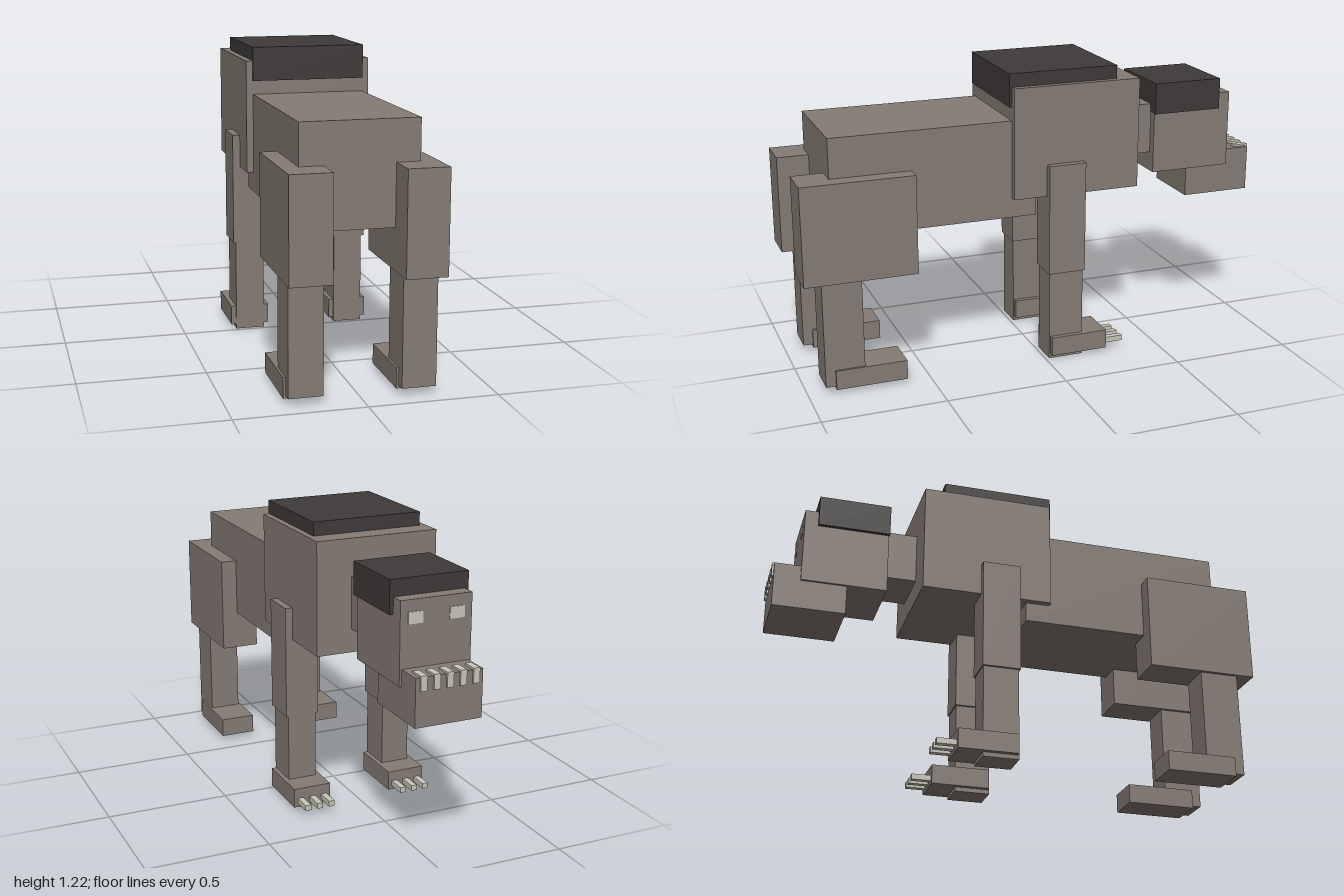
import * as THREE from 'three';

const fur = new THREE.MeshStandardMaterial({ name: 'fur', color: 0x857b74 });
const mane = new THREE.MeshStandardMaterial({ name: 'darkMane', color: 0x403a3a });
const bone = new THREE.MeshStandardMaterial({ name: 'bone', color: 0xc8c6ba });

// Box given by its extents on each axis
function box(parent, name, material, [x0, x1], [y0, y1], [z0, z1]) {
  const mesh = new THREE.Mesh(new THREE.BoxGeometry(x1 - x0, y1 - y0, z1 - z0), material);
  mesh.position.set((x0 + x1) / 2, (y0 + y1) / 2, (z0 + z1) / 2);
  mesh.name = name;
  parent.add(mesh);
}

function group(parent, name) {
  const g = new THREE.Group();
  g.name = name;
  parent.add(g);
  return g;
}

// Extents centred on c
const span = (c, size) => [c - size / 2, c + size / 2];

export function createModel() {
  const model = new THREE.Group();
  model.name = 'beast';

  // Trunk
  box(model, 'hindBody', fur, span(0, 0.455), [0.625, 1.025], [0.03, 0.87]);
  box(model, 'chest', fur, span(0, 0.51), [0.705, 1.16], [-0.41, 0.13]);
  box(model, 'backMane', mane, span(0, 0.458), [1.08, 1.215], [-0.32, 0.14]);
  box(model, 'neck', fur, span(0, 0.22), [0.8, 1.01], [-0.6, -0.38]);

  // Head, facing -z
  const head = group(model, 'head');
  box(head, 'skull', fur, span(0, 0.29), [0.72, 1.04], [-0.885, -0.535]);
  box(head, 'headMane', mane, span(0, 0.32), [0.975, 1.105], [-0.83, -0.533]);
  box(head, 'jaw', fur, span(0, 0.272), [0.597, 0.785], [-0.992, -0.697]);
  for (let i = -2; i <= 2; i++) {
    box(head, 'tooth', bone, span(i * 0.053, 0.026), [0.735, 0.793], [-1, -0.935]);
  }

  for (const side of [1, -1]) {
    const label = side > 0 ? 'left' : 'right';
    const c = side * 0.215;
    box(head, label + 'Eye', bone, span(side * 0.084, 0.06), [0.95, 0.995], [-0.888, -0.88]);

    // Hind leg
    const hind = group(model, label + 'HindLeg');
    box(hind, 'thigh', fur, span(c, 0.16), [0.463, 0.865], [0.545, 1]);
    box(hind, 'shin', fur, span(c, 0.132), [0.03, 0.5], [0.77, 0.93]);
    box(hind, 'hindFoot', fur, span(c, 0.15), [0.018, 0.098], [0.6, 0.89]);

    // Foreleg
    const fore = group(model, label + 'Foreleg');
    box(fore, 'upperArm', fur, span(c, 0.14), [0.378, 0.838], [-0.167, -0.01]);
    box(fore, 'forearm', fur, span(c, 0.12), [0, 0.4], [-0.162, -0.016]);
    box(fore, 'forefoot', fur, span(c, 0.16), [0.018, 0.098], [-0.265, -0.022]);
    for (let i = -1; i <= 1; i++) {
      box(fore, 'claw', bone, span(c + i * 0.052, 0.025), [0.033, 0.056], [-0.345, -0.25]);
    }
  }
  return model;
}
